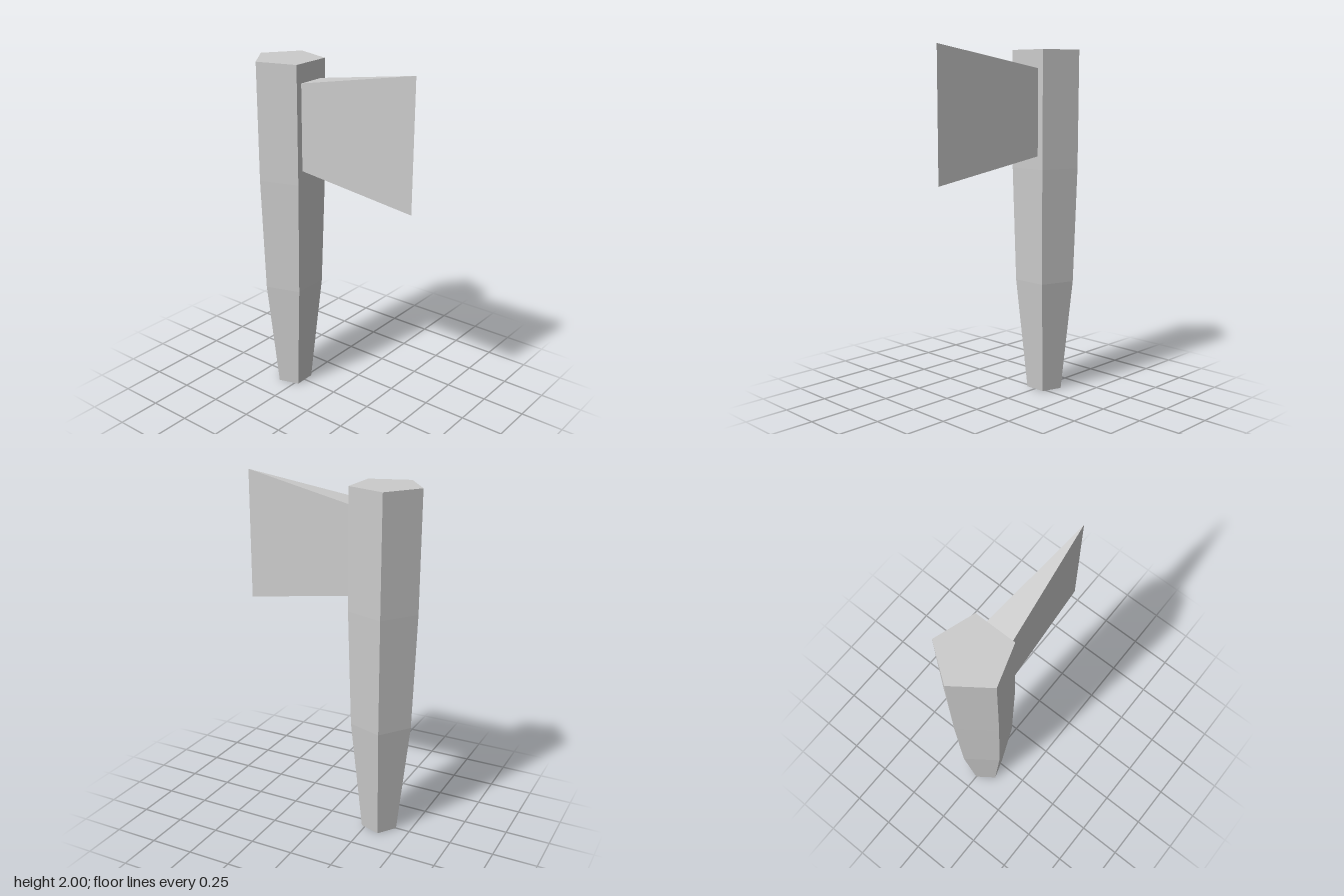
import * as THREE from 'three';

const material = new THREE.MeshStandardMaterial({ color: 0xcccccc, flatShading: true });

// Five-sided tapering handle, closed at both ends
function createHandle() {
  const profile = [[0, 0], [0.105, 0], [0.175, 0.66], [0.196, 1.32], [0.198, 1.983], [0, 1.983]]
    .map(([r, y]) => new THREE.Vector2(r, y));
  const geometry = new THREE.LatheGeometry(profile, 5).toNonIndexed();
  geometry.rotateY(Math.PI); // ridge to the back, flat side to the blade
  geometry.computeVertexNormals();
  const handle = new THREE.Mesh(geometry, material);
  handle.name = 'handle';
  handle.position.z = -0.313;
  return handle;
}

// Wedge blade: rectangular root widening in height to a sharp vertical edge
function createBlade() {
  const w = 0.082, root = -0.152, edge = 0.512;
  const corners = [
    -w, 1.395, root, w, 1.395, root, w, 1.88, root, -w, 1.88, root,
    0, 1.273, edge, 0, 2, edge,
  ];
  const faces = [
    1, 2, 5, 1, 5, 4, // left cheek
    0, 5, 3, 0, 4, 5, // right cheek
    3, 5, 2, // top
    0, 1, 4, // bottom
    0, 3, 2, 0, 2, 1, // root
  ];
  const indexed = new THREE.BufferGeometry();
  indexed.setAttribute('position', new THREE.Float32BufferAttribute(corners, 3));
  indexed.setIndex(faces);
  const geometry = indexed.toNonIndexed();
  geometry.computeVertexNormals();
  const blade = new THREE.Mesh(geometry, material);
  blade.name = 'blade';
  return blade;
}

export function createModel() {
  const axe = new THREE.Group();
  axe.name = 'axe';
  axe.add(createHandle(), createBlade());
  return axe;
}
